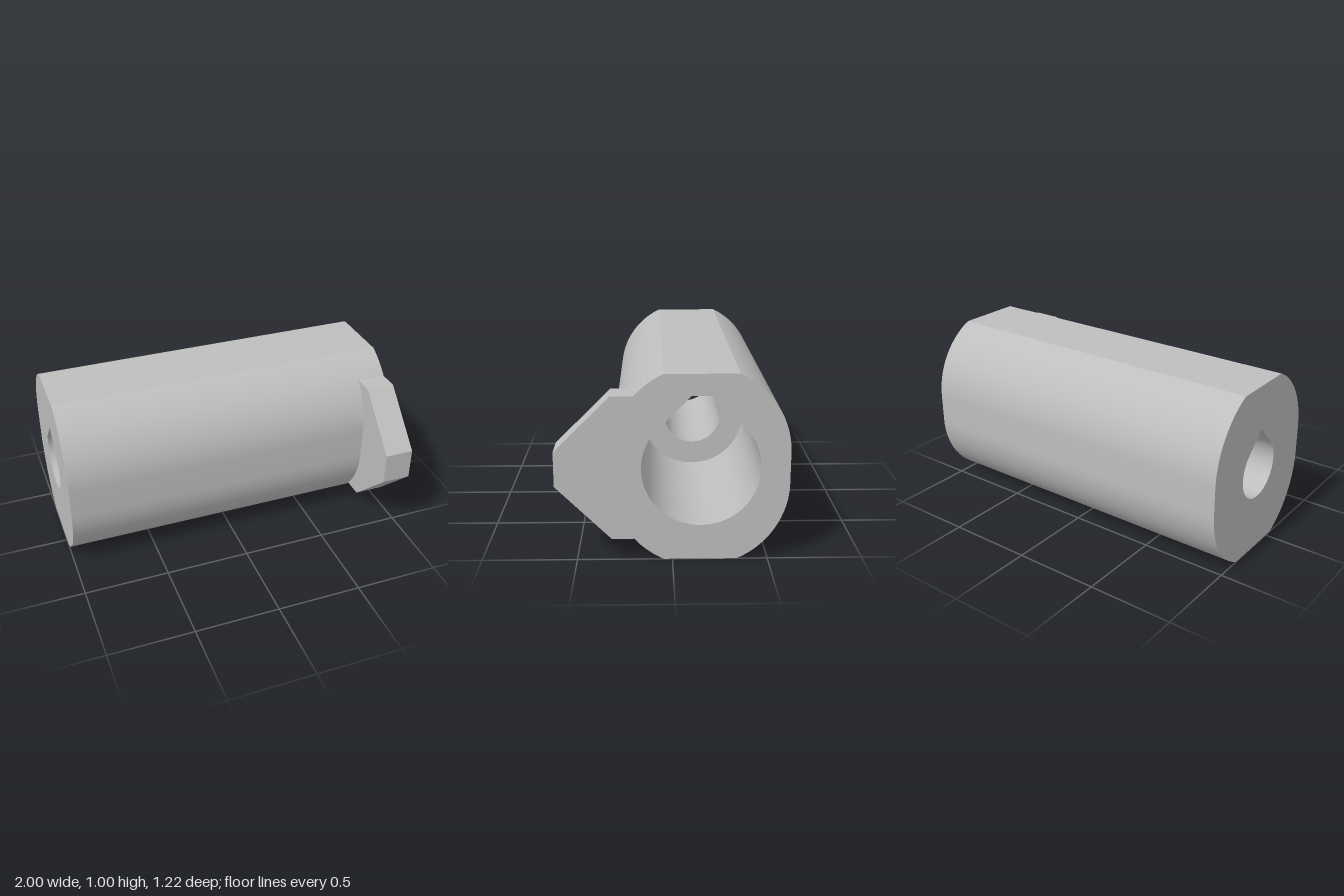
import * as THREE from 'three';
import { mergeGeometries, toCreasedNormals } from 'three/addons/utils/BufferGeometryUtils.js';

// Profiles are drawn in (u, v) with u = -z and v = y, counter-clockwise seen from +x.
const CU = 0.147, CV = 0.5;          // bore axis
const END = 1, STEP = 0, LUG_BACK = 0.83;

const arc = (cu, cv, r, a0, a1, n) => Array.from({ length: n + 1 }, (_, i) => {
  const a = a0 + (a1 - a0) * i / n;
  return new THREE.Vector2(cu + r * Math.cos(a), cv + r * Math.sin(a));
});

// Tall rounded outline, cut flat at top and bottom
function bodyOutline() {
  const r = 0.46, off = 0.082, a = Math.asin((0.5 - off) / r), P = Math.PI;
  return [
    ...arc(CU, CV + off, r, 0, a, 24),
    ...arc(CU, CV + off, r, P - a, P, 24),
    ...arc(CU, CV - off, r, P, P + a, 24),
    ...arc(CU, CV - off, r, 2 * P - a, 2 * P, 24),
  ];
}

// Round hole with a pointed 45 degree roof
const teardrop = (r) => [
  ...arc(CU, CV, r, Math.PI * 0.75, Math.PI * 2.25, 64),
  new THREE.Vector2(CU, CV + r * Math.SQRT2),
];

// Side wall along x that follows an outline
function wall(pts, x0, x1, closed = true) {
  const pos = [];
  const count = closed ? pts.length : pts.length - 1;
  for (let i = 0; i < count; i++) {
    const p = pts[i], q = pts[(i + 1) % pts.length];
    const put = (x, c) => pos.push(x, c.y, -c.x);
    put(x0, p); put(x0, q); put(x1, q);
    put(x0, p); put(x1, q); put(x1, p);
  }
  const g = new THREE.BufferGeometry();
  g.setAttribute('position', new THREE.Float32BufferAttribute(pos, 3));
  return toCreasedNormals(g, 0.3);
}

// Flat face at x, facing +x (dir 1) or -x (dir -1)
function cap(pts, hole, x, dir) {
  const map = (list) => list.map((p) => new THREE.Vector2(p.x * dir, p.y));
  const shape = new THREE.Shape(map(pts));
  if (hole) shape.holes.push(new THREE.Path(map(hole)));
  const g = new THREE.ShapeGeometry(shape).toNonIndexed();
  g.deleteAttribute('uv');
  return g.rotateY(dir * Math.PI / 2).translate(x, 0, 0);
}

export function createModel() {
  const group = new THREE.Group();
  const grey = new THREE.MeshStandardMaterial({ color: 0xbebebe });
  grey.name = 'grey plastic';
  const add = (name, parts) => {
    const mesh = new THREE.Mesh(mergeGeometries(parts), grey);
    mesh.name = name;
    group.add(mesh);
  };

  const body = bodyOutline(), wide = teardrop(0.309), narrow = teardrop(0.171);
  const inward = (pts) => [...pts].reverse();

  // Sleeve with its two end faces
  add('body', [wall(body, -END, END), cap(body, wide, END, 1), cap(body, narrow, -END, -1)]);

  // Stepped bore: wide from the +x end, narrow from the -x end
  add('wideBore', [wall(inward(wide), STEP, END), cap(wide, narrow, STEP, 1)]);
  add('narrowBore', [wall(inward(narrow), -END, STEP)]);

  // Tapered lug on the front, flush with the +x end
  const outer = [[-0.2, 0.885], [-0.317, 0.885], [-0.61, 0.593], [-0.61, 0.407], [-0.317, 0.115], [-0.2, 0.115]]
    .map(([u, v]) => new THREE.Vector2(u, v));
  const seat = body.filter((p) => p.x < -0.203).sort((p, q) => p.y - q.y);
  const lug = [...outer, ...seat];
  add('lug', [wall(outer, LUG_BACK, END, false), cap(lug, null, END, 1), cap(lug, null, LUG_BACK, -1)]);

  return group;
}
